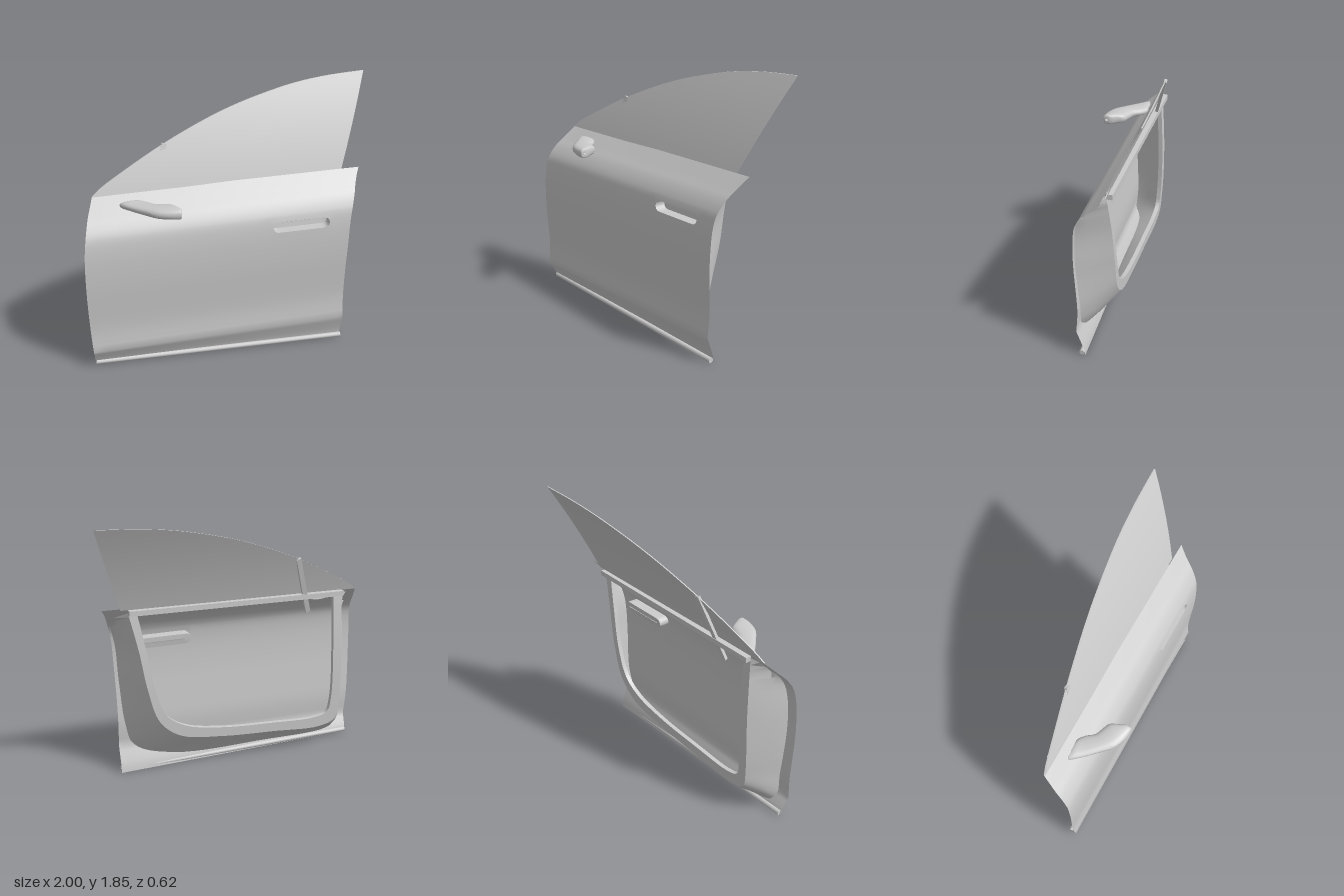
import * as THREE from 'three';
import { mergeGeometries, mergeVertices, toCreasedNormals } from 'three/addons/utils/BufferGeometryUtils.js';

const { lerp, clamp } = THREE.MathUtils;
const V = (x, y, z) => new THREE.Vector3(x, y, z);
const material = new THREE.MeshStandardMaterial({ color: 0xcccccc, side: THREE.DoubleSide });

// Surface through rows of points; closed joins the end of each row to its start
function loft(rows, closed = false) {
  const n = rows[0].length, pos = [], idx = [];
  rows.forEach(r => r.forEach(p => pos.push(p.x, p.y, p.z)));
  for (let i = 0; i < rows.length - 1; i++)
    for (let j = 0; j < (closed ? n : n - 1); j++) {
      const a = i * n + j, b = i * n + (j + 1) % n;
      idx.push(a, b, b + n, a, b + n, a + n);
    }
  const g = new THREE.BufferGeometry();
  g.setAttribute('position', new THREE.Float32BufferAttribute(pos, 3));
  g.setIndex(idx);
  return g;
}

function mesh(name, geometry, crease = 0.5) {
  const m = new THREE.Mesh(crease ? toCreasedNormals(geometry, crease) : geometry, material);
  m.name = name;
  return m;
}

// Smooth lookup of a value against height
function lookup(points) {
  const s = new THREE.SplineCurve(points.map(p => new THREE.Vector2(...p))).getPoints(200);
  return y => {
    let i = 1;
    while (i < s.length - 1 && s[i].x < y) i++;
    const a = s[i - 1], b = s[i];
    return lerp(a.y, b.y, clamp((y - a.x) / (b.x - a.x), 0, 1));
  };
}

// Straight bar between two points
function bar(name, a, b, w, d) {
  const m = mesh(name, new THREE.BoxGeometry(w, a.distanceTo(b), d), 0);
  m.position.copy(a).add(b).multiplyScalar(0.5);
  m.quaternion.setFromUnitVectors(V(0, 1, 0), b.clone().sub(a).normalize());
  return m;
}

// ---- Door skin: s runs front edge to rear edge, v is height before the belt and crease slope
const frontEdge = lookup([[0, -0.97], [0.3, -0.99], [0.6, -1], [0.85, -0.998], [1, -0.985], [1.12, -0.96], [1.2, -0.93], [1.25, -0.91]]);
const rearEdge = lookup([[0, 0.79], [0.5, 0.79], [0.8, 0.8], [0.95, 0.81], [1.05, 0.83], [1.17, 0.87], [1.25, 0.91]]);
const lowerZ = lookup([[0, 0.14], [0.05, 0.15], [0.17, 0.197]]);
const upperZ = lookup([[0.17, 0.197], [0.33, 0.184], [0.5, 0.19], [0.68, 0.198], [0.85, 0.197], [0.97, 0.186], [1.04, 0.166], [1.11, 0.117], [1.165, 0.06], [1.25, -0.028]]);
const crease = x => 0.13 + 0.06 * (x + 1) / 1.8;
const belt = x => 1.2 + 0.055 * (x + 0.91) / 1.82;

function skin(s, v) {
  const x = lerp(frontEdge(v), rearEdge(v), s), c = crease(x);
  const y = v < 0.17 ? v / 0.17 * c : lerp(c, belt(x), (v - 0.17) / 1.08);
  const z = (v < 0.17 ? lowerZ(v) : upperZ(v)) - 0.022 * s * clamp((1.25 - v) / 0.2, 0, 1);
  return V(x, y, z);
}
function skinAt(x, y, dz = 0) {
  const c = crease(x);
  const v = y < c ? y / c * 0.17 : 0.17 + (y - c) / (belt(x) - c) * 1.08;
  const f = frontEdge(v), p = skin((x - f) / (rearEdge(v) - f), v);
  return V(x, y, p.z + dz);
}

const steps = (a, b, n) => Array.from({ length: n }, (_, i) => lerp(a, b, i / n));

function makeSkin(group) {
  const s0 = 0.68, s1 = 0.94, v0 = 0.86, v1 = 1.02;
  const S = [...steps(0, s0, 14), ...steps(s0, s1, 12), ...steps(s1, 1, 3), 1];
  const R = [...steps(0, 0.17, 5), ...steps(0.17, v0, 14), ...steps(v0, v1, 6), ...steps(v1, 1.25, 14), 1.25];
  const patches = [];
  for (let i = 0; i < R.length - 1; i++)
    for (let j = 0; j < S.length - 1; j++) {
      if (R[i] > v0 - 1e-6 && R[i] < v1 - 1e-6 && S[j] > s0 - 1e-6 && S[j] < s1 - 1e-6) continue;
      patches.push(loft([[skin(S[j], R[i]), skin(S[j + 1], R[i])], [skin(S[j], R[i + 1]), skin(S[j + 1], R[i + 1])]]));
    }
  // Rounded slot: pull the rectangle around it in to a stadium outline
  const outer = [
    ...steps(s0, s1, 12).map(s => skin(s, v0)), ...steps(v0, v1, 6).map(v => skin(s1, v)),
    ...steps(s1, s0, 12).map(s => skin(s, v1)), ...steps(v1, v0, 6).map(v => skin(s0, v))];
  const slot = (r, dz) => outer.map(p => {
    const dx = p.x - 0.465, dy = p.y - 0.948 - 0.02 * dx, cx = clamp(dx, -0.16, 0.16);
    const k = r / Math.hypot(dx - cx, dy), x = cx + (dx - cx) * k;
    return skinAt(0.465 + x, 0.948 + 0.02 * x + dy * k, dz);
  });
  patches.push(loft([outer, slot(0.036, 0)], true));
  group.add(mesh('outerSkin', mergeVertices(mergeGeometries(patches), 1e-4), 0.6));
  group.add(mesh('handlePocket', loft([slot(0.036, 0), slot(0.037, -0.012), slot(0.037, -0.075), slot(0.002, -0.078)], true)));
}

// ---- Inner frame: U-shaped pressing from the opening lip out to the skin
function makeFrame(group) {
  const opening = [[0.68, 1.21], [0.63, 0.95], [0.58, 0.67], [0.5, 0.46], [0.36, 0.36], [0.1, 0.3], [-0.3, 0.265], [-0.62, 0.25], [-0.72, 0.28], [-0.745, 0.38], [-0.745, 0.8], [-0.74, 1.19]];
  const flange = [[0.74, 1.22], [0.68, 0.95], [0.63, 0.67], [0.55, 0.42], [0.4, 0.29], [0.1, 0.23], [-0.3, 0.195], [-0.66, 0.17], [-0.78, 0.21], [-0.81, 0.36], [-0.81, 0.8], [-0.8, 1.19]];
  const wall = [[0.82, 1.21], [0.75, 0.95], [0.73, 0.67], [0.68, 0.35], [0.58, 0.2], [0.3, 0.12], [-0.3, 0.1], [-0.76, 0.09], [-0.86, 0.14], [-0.88, 0.34], [-0.89, 0.8], [-0.85, 1.17]];
  const rim = [[0.86, 1.21], [0.79, 0.95], [0.77, 0.67], [0.74, 0.35], [0.68, 0.18], [0.4, 0.08], [-0.3, 0.05], [-0.8, 0.05], [-0.87, 0.08], [-0.91, 0.3], [-0.93, 0.8], [-0.88, 1.16]];
  const faceZ = y => -0.03 - 0.02 * Math.sin(Math.PI * clamp((y - 0.17) / 1.05, 0, 1));
  const row = (pts, z) => new THREE.CatmullRomCurve3(pts.map(p => V(p[0], p[1], 0))).getPoints(88)
    .map(p => V(p.x, p.y, Math.min(z(p.y), skinAt(p.x, p.y, -0.006).z)));
  group.add(mesh('innerFrame', loft([
    row(opening, y => faceZ(y) + 0.03), row(opening, faceZ), row(flange, faceZ),
    row(wall, () => 0.09), row(rim, () => 1)])));
}

// ---- Window: one curved pane leaning inwards, with a little thickness
const paneZ = y => -0.025 - 0.347 * (y - 1.22) - 0.154 * (y - 1.22) ** 2;
function makeWindow(group) {
  const top = lookup([[-0.91, 1.2], [-0.8, 1.28], [-0.41, 1.492], [0, 1.665], [0.4, 1.778], [0.7, 1.828], [1, 1.85]]);
  const rows = steps(0, 1, 40).concat(1).map(s => {
    const xt = lerp(-0.91, 1, s), xb = lerp(-0.91, 0.79, s), yt = top(xt), yb = belt(xb) - 0.005;
    const side = dz => Array.from({ length: 13 }, (_, i) => {
      const y = lerp(yb, yt, i / 12);
      return V(lerp(xb, xt, i / 12), y, paneZ(y) + dz);
    });
    return [...side(0), ...side(-0.009).reverse()];
  });
  group.add(mesh('windowPane', loft(rows, true)));
}

// ---- Slim mirror arm: rounded sections between its two plan edges
function makeMirror(group) {
  // front x, front z, back x, back z, centre y, half height
  const sections = [
    [-0.72, 0.045, -0.62, 0.035, 1.15, 0.01], [-0.74, 0.045, -0.6, 0.03, 1.15, 0.024], [-0.68, 0.12, -0.55, 0.065, 1.152, 0.027],
    [-0.6, 0.2, -0.51, 0.115, 1.155, 0.03], [-0.53, 0.265, -0.45, 0.14, 1.158, 0.034],
    [-0.46, 0.295, -0.41, 0.16, 1.16, 0.037], [-0.395, 0.305, -0.385, 0.21, 1.162, 0.036],
    [-0.37, 0.303, -0.365, 0.25, 1.163, 0.03], [-0.365, 0.285, -0.363, 0.27, 1.163, 0.008]];
  const pw = a => Math.sign(a) * Math.abs(a) ** 0.75;
  const columns = Array.from({ length: 20 }, (_, i) => {
    const t = i / 20 * Math.PI * 2, c = pw(Math.cos(t)) / 2;
    return new THREE.CatmullRomCurve3(sections.map(([ax, az, bx, bz, y, h]) =>
      V(lerp(ax, bx, 0.5 + c), y + h * pw(Math.sin(t)), lerp(az, bz, 0.5 + c)))).getPoints(32);
  });
  columns.push(columns[0]);
  group.add(mesh('mirrorArm', mergeVertices(loft(columns)), 0.8));
  const nub = mesh('mirrorNub', new THREE.SphereGeometry(0.028, 16, 10), 0);
  nub.scale.y = 0.6;
  nub.position.set(-0.5, 1.127, 0.18);
  group.add(nub);
}

export function createModel() {
  const door = new THREE.Group();
  door.name = 'carDoor';
  makeSkin(door);
  makeFrame(door);
  makeWindow(door);
  makeMirror(door);
  // Belt rail, window divider and bottom hem
  door.add(bar('beltRail', V(-0.8, 1.185, -0.05), V(0.74, 1.225, -0.05), 0.035, 0.04));
  door.add(bar('windowDivider', V(-0.55, 1.065, -0.015), V(-0.412, 1.49, -0.135), 0.034, 0.02));
  const hem = bar('bottomHem', V(-0.965, 0.019, 0.141), V(0.79, 0.019, 0.141), 1, 1);
  hem.geometry = new THREE.CylinderGeometry(0.018, 0.018, 1.755, 12);
  door.add(hem);
  return door;
}
